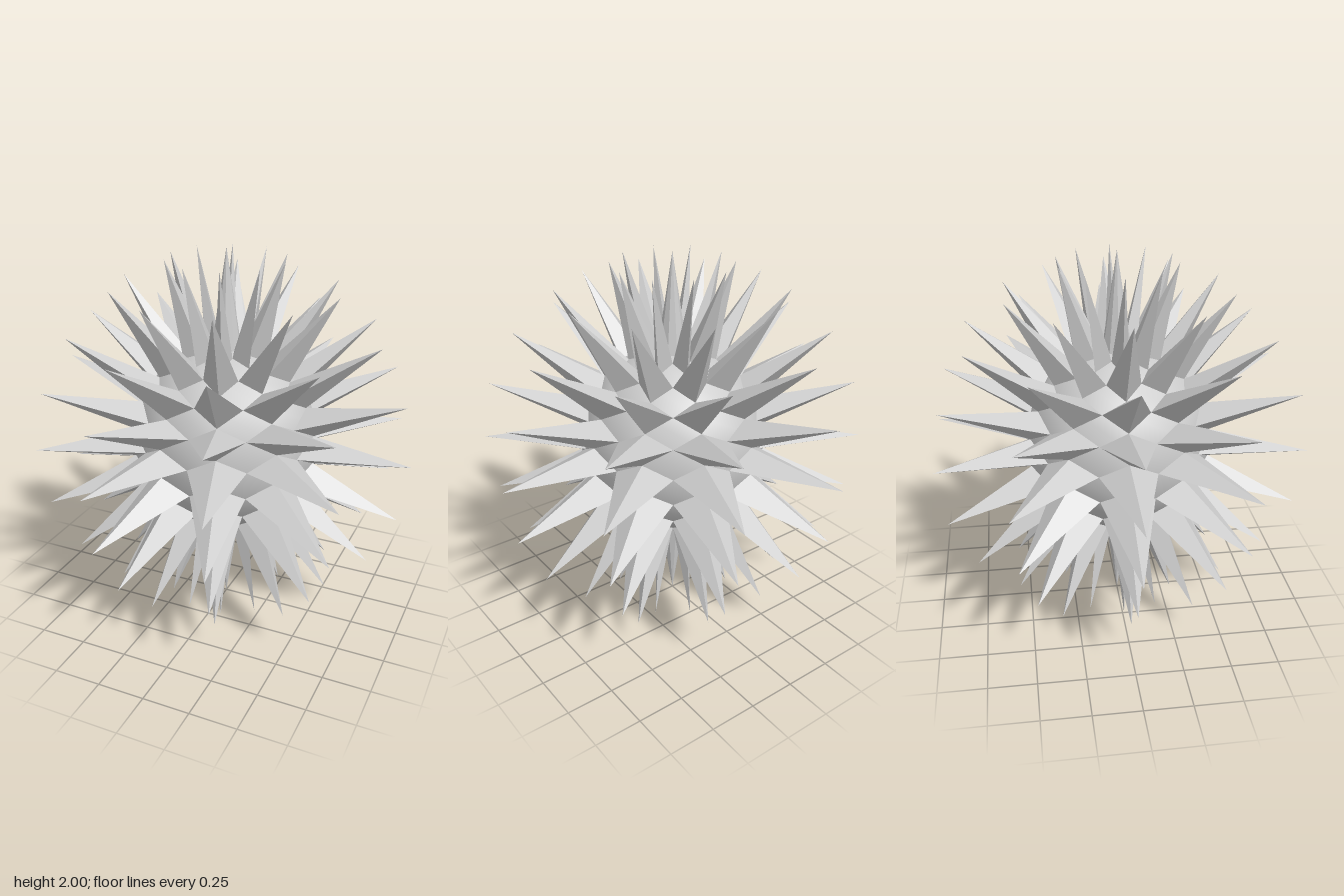
import * as THREE from 'three';

const SIDES = 10;                 // spikes around each ring
const RINGS = 10;                 // steps from pole to pole
const CORE = 0.5, TIP = 1;
const LON = (Math.PI * 2) / SIDES, LAT = Math.PI / RINGS;

// Point at ring i (-5 is the lower pole, 5 the upper) and column j
function point(i, j, radius) {
  const r = Math.cos(i * LAT) * radius;
  return new THREE.Vector3(r * Math.cos(j * LON), Math.sin(i * LAT) * radius, -r * Math.sin(j * LON));
}

// Pyramid whose base corners are halfway to the neighbouring spikes
function spike(i, j, neighbours) {
  const base = point(i, j, CORE), tip = point(i, j, TIP);
  const corners = neighbours.map(([a, b]) => point(a, b, CORE).lerp(base, 0.5));
  return corners.flatMap((c, k) => [c, corners[(k + 1) % corners.length], tip]);
}

export function createModel() {
  const group = new THREE.Group();
  const smooth = new THREE.MeshStandardMaterial({ color: 0xcccccc });
  const faceted = new THREE.MeshStandardMaterial({ color: 0xcccccc, flatShading: true });

  const add = (name, geometry, material) => {
    const mesh = new THREE.Mesh(geometry, material);
    mesh.name = name;
    mesh.position.y = TIP;
    group.add(mesh);
  };
  const addSpikes = (name, points) => {
    const geometry = new THREE.BufferGeometry().setFromPoints(points);
    geometry.computeVertexNormals();
    add(name, geometry, faceted);
  };

  // Round body, seen in the gaps between the spikes
  add('core', new THREE.SphereGeometry(CORE, SIDES, RINGS), smooth);

  // Rings of four-sided spikes
  const top = RINGS / 2;
  for (let i = 1 - top; i < top; i++) {
    const points = [];
    for (let j = 0; j < SIDES; j++) {
      points.push(...spike(i, j, [[i, j + 1], [i + 1, j], [i, j - 1], [i - 1, j]]));
    }
    addSpikes(`spikeRing${i + top}`, points);
  }

  // Ten-sided spikes at the poles
  const columns = Array.from({ length: SIDES }, (_, j) => j);
  addSpikes('topSpike', spike(top, 0, columns.map((j) => [top - 1, j])));
  addSpikes('bottomSpike', spike(-top, 0, columns.map((j) => [1 - top, -j])));

  return group;
}
